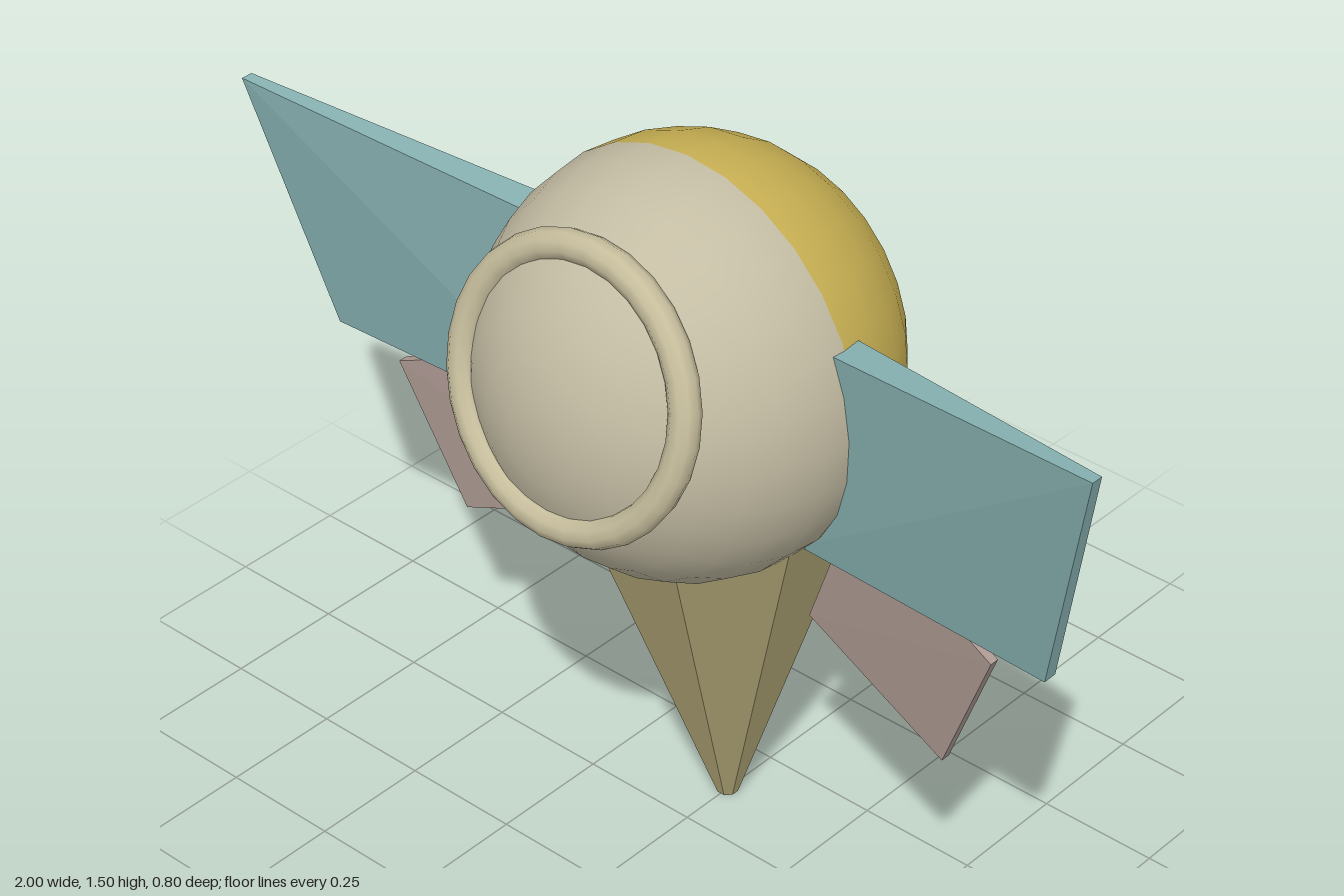
import * as THREE from 'three';
import { ConvexGeometry } from 'three/addons/geometries/ConvexGeometry.js';

const paint = (color, flatShading = false) => new THREE.MeshStandardMaterial({ color, flatShading });

export function createModel() {
  const model = new THREE.Group();
  const add = (name, geometry, material) => {
    const mesh = new THREE.Mesh(geometry, material);
    mesh.name = name;
    model.add(mesh);
    return mesh;
  };

  // Round body: pale front half and golden rear half, poles along z
  const halfBody = (start) => new THREE.SphereGeometry(0.4, 28, 8, 0, Math.PI * 2, start, Math.PI / 2)
    .rotateX(Math.PI / 2).scale(1, 1.05, 1).translate(0, 1.08, 0);
  add('bodyFront', halfBody(0), paint(0xc4bda4));
  add('bodyRear', halfBody(Math.PI / 2), paint(0xc8b053));

  // Ring around the face, tilted upward
  const ring = add('faceRing', new THREE.TorusGeometry(0.26, 0.03, 10, 28), paint(0xc6bd9c));
  ring.position.set(0, 1.16, 0.305);
  ring.rotation.x = -0.25;

  // Eight-sided tail cone, leaning back towards its tip
  const tailPoints = [];
  for (let i = 0; i < 8; i++) {
    const a = (i + 0.5) * Math.PI / 4;
    const c = Math.cos(a), s = Math.sin(a);
    tailPoints.push(new THREE.Vector3(c * 0.3, 0.8, s * 0.275 - 0.075));
    tailPoints.push(new THREE.Vector3(c * 0.022, 0, s * 0.022 - 0.12));
  }
  add('tail', new ConvexGeometry(tailPoints), paint(0xb3a878, true));

  // Fin corners: x, y, back z, front z
  const upperFin = [
    [0.25, 1.233, -0.07, 0.008],
    [1.0, 1.335, 0.11, 0.135],
    [0.865, 0.805, 0.015, 0.045],
    [0.25, 0.762, -0.09, -0.025],
  ];
  const lowerFin = [
    [0.37, 0.9, -0.065, -0.03],
    [0.73, 0.76, 0.0, 0.02],
    [0.6, 0.45, -0.042, -0.022],
    [0.245, 0.58, -0.1, -0.065],
  ];
  const finGeometry = (corners, side) => new ConvexGeometry(corners.flatMap(([x, y, back, front]) => [
    new THREE.Vector3(side * x, y, back),
    new THREE.Vector3(side * x, y, front),
  ]));
  for (const [label, side] of [['left', 1], ['right', -1]]) {
    add(label + 'UpperFin', finGeometry(upperFin, side), paint(0x88b2b2, true));
    add(label + 'LowerFin', finGeometry(lowerFin, side), paint(0xae9a93, true));
  }
  return model;
}
